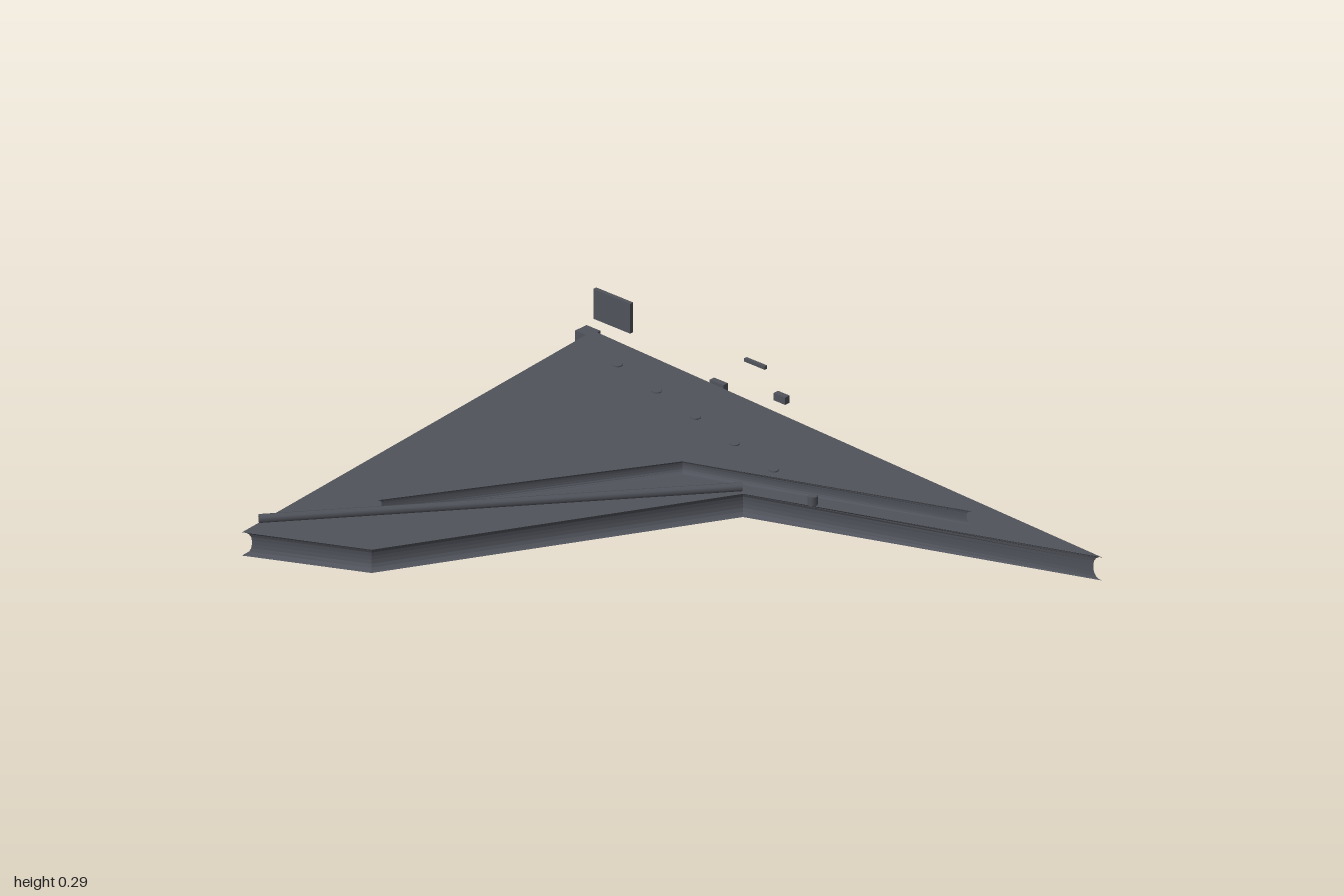
import * as THREE from 'three';

const hullGrey = new THREE.MeshStandardMaterial({ color: 0x50535b });
hullGrey.name = 'hull grey';

export function createModel() {
  const model = new THREE.Group();
  model.name = 'wingedHull';

  const add = (name, geometry, x = 0, y = 0, z = 0) => {
    const mesh = new THREE.Mesh(geometry, hullGrey);
    mesh.name = name;
    mesh.position.set(x, y, z);
    model.add(mesh);
    return mesh;
  };

  // Flat slab from an (x, z) outline, with hollowed (concave) side walls
  const slab = (name, outline, bottom, top, hollow) => {
    const shape = new THREE.Shape(outline.map(([x, z]) => new THREE.Vector2(x, -z)));
    const bevel = (top - bottom) * 0.42;
    const geometry = new THREE.ExtrudeGeometry(shape, {
      depth: top - bottom - 2 * bevel,
      bevelEnabled: true,
      bevelThickness: bevel,
      bevelSize: -hollow,
      bevelSegments: 4,
    });
    geometry.rotateX(-Math.PI / 2);
    return add(name, geometry, 0, bottom + bevel, 0);
  };

  // Main swept hull and the raised deck on it
  slab('hull', [[-0.95, -0.71], [0.997, -0.62], [0.02, -0.25], [-0.49, 0.68], [-0.82, 0.838]], 0.09, 0.16, 0.02);
  slab('raisedDeck', [[-0.765, -0.6], [0.605, -0.53], [-0.18, -0.225], [-0.63, 0.51]], 0.16, 0.2, 0.014);

  // Long spar running diagonally to the nose
  const start = new THREE.Vector3(0.012, 0.177, -0.255);
  const end = new THREE.Vector3(-0.82, 0.177, 0.77);
  const along = end.clone().sub(start);
  const spar = add('diagonalSpar', new THREE.CylinderGeometry(0.0125, 0.0125, along.length(), 8));
  spar.position.copy(start).add(end).multiplyScalar(0.5);
  spar.quaternion.setFromUnitVectors(new THREE.Vector3(0, 1, 0), along.normalize());

  // Row of deck studs
  for (let i = 0; i < 6; i++) {
    add('deckStud', new THREE.CylinderGeometry(0.014, 0.014, 0.027, 10), -0.705 + i * 0.186, 0.19, -0.54 + i * 0.047);
  }

  // Loose plates and blocks around the stern: name, size, centre, roll
  const pieces = [
    ['upperFin', [0.135, 0.09, 0.012], [-0.877, 0.245, -0.71], 0],
    ['lowerFin', [0.15, 0.11, 0.012], [-0.764, 0.083, -0.71], -0.15],
    ['sternBlock', [0.052, 0.045, 0.046], [-0.974, 0.128, -0.714], 0],
    ['antennaPlate', [0.075, 0.01, 0.01], [-0.355, 0.26, -0.71], 0],
    ['sternPod', [0.042, 0.022, 0.018], [-0.26, 0.188, -0.71], 0],
    ['smallChip', [0.02, 0.01, 0.016], [-0.9, 0.213, -0.758], 0],
    ['debrisBlock', [0.05, 0.036, 0.018], [-0.606, 0.058, -0.836], 0],
    ['debrisBlock', [0.045, 0.028, 0.014], [-0.492, 0.041, -0.821], 0],
    ['debrisBlock', [0.038, 0.03, 0.02], [-0.915, 0.015, -0.65], 0],
    ['bellyPlate', [0.062, 0.026, 0.01], [-0.668, 0.083, -0.585], 0],
    ['sideChip', [0.03, 0.02, 0.012], [-0.948, 0.13, -0.615], 0],
  ];
  for (const [name, size, centre, roll] of pieces) {
    add(name, new THREE.BoxGeometry(...size), ...centre).rotation.z = roll;
  }

  return model;
}
